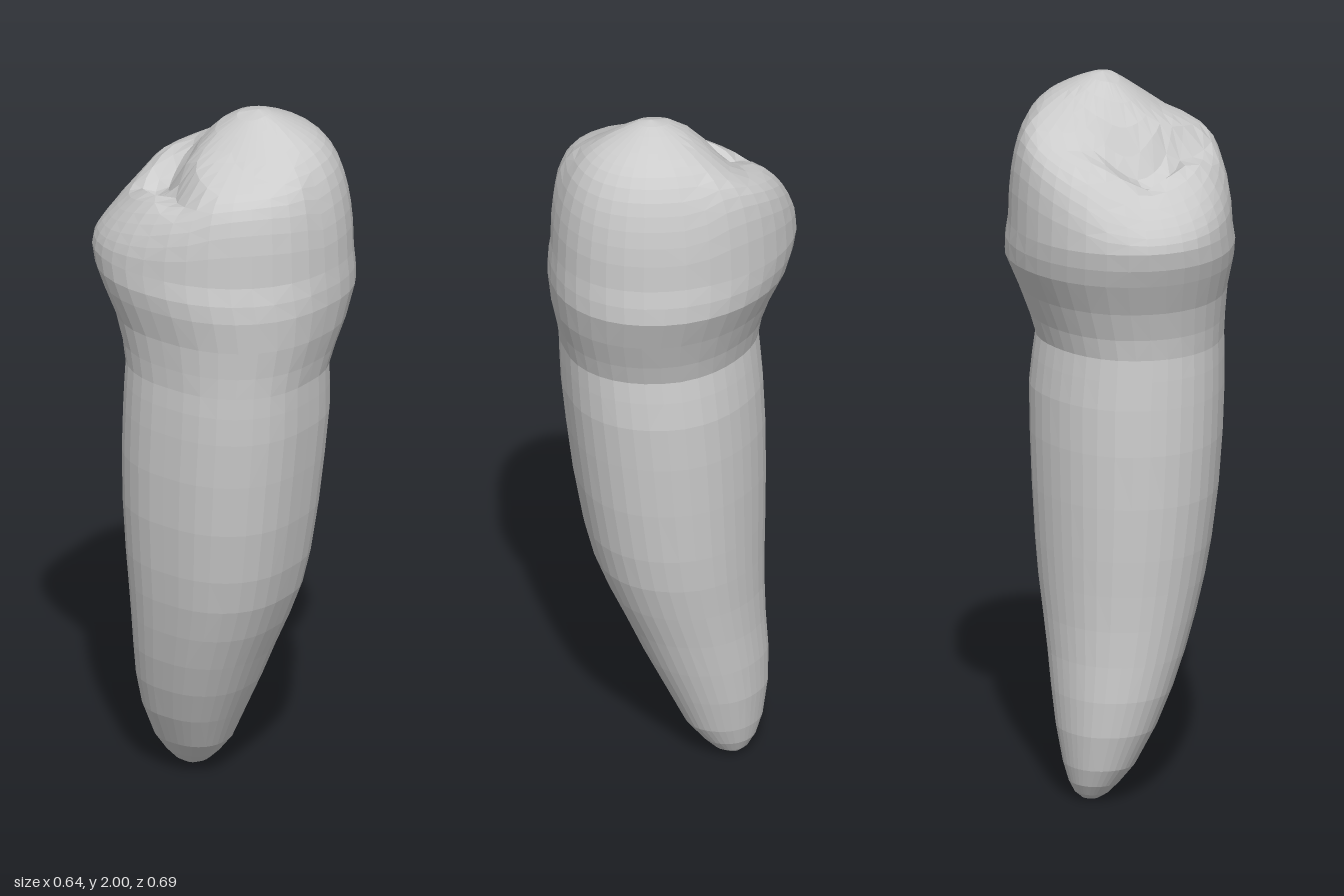
import * as THREE from 'three';

const SEG = 36;

// Ring sections from tip to neck: [y, xMin, xMax, zMin, zMax]
const ROOT = [
  [0.005, 0.035, 0.085, -0.175, -0.125],
  [0.02, 0.01, 0.105, -0.195, -0.095],
  [0.05, -0.02, 0.122, -0.217, -0.063],
  [0.1, -0.062, 0.139, -0.238, -0.02],
  [0.2, -0.115, 0.16, -0.257, 0.03],
  [0.3, -0.155, 0.175, -0.261, 0.08],
  [0.4, -0.187, 0.188, -0.256, 0.125],
  [0.5, -0.213, 0.203, -0.254, 0.172],
  [0.6, -0.235, 0.218, -0.255, 0.212],
  [0.7, -0.252, 0.228, -0.258, 0.238],
  [0.85, -0.27, 0.238, -0.261, 0.264],
  [1.0, -0.28, 0.245, -0.26, 0.283],
  [1.13, -0.284, 0.248, -0.254, 0.297],
  [1.21, -0.284, 0.24, -0.248, 0.301],
  [1.27, -0.282, 0.232, -0.243, 0.303],
];

// Crown wall from neck to its widest band
const CROWN = [
  [1.27, -0.282, 0.232, -0.243, 0.303],
  [1.33, -0.286, 0.25, -0.252, 0.315],
  [1.41, -0.294, 0.28, -0.277, 0.336],
  [1.5, -0.314, 0.316, -0.318, 0.35],
  [1.55, -0.32, 0.314, -0.336, 0.35],
  [1.6, -0.315, 0.306, -0.346, 0.346],
];

// One ring of points, slightly squarer than an oval; skew turns it off its axes,
// corner fills out the front right and trims the back left
function ring([y, x0, x1, z0, z1], skew, corner) {
  const square = v => Math.sign(v) * Math.abs(v) ** 0.94;
  return Array.from({ length: SEG }, (_, i) => {
    const a = (i / SEG) * Math.PI * 2, c = Math.cos(a), s = Math.sin(a);
    const push = 1 + corner * Math.max(0, -2 * c * s) * (s - c) / Math.SQRT2;
    return new THREE.Vector3(
      (x0 + x1) / 2 + ((x1 - x0) / 2) * square(c) * push, y,
      (z0 + z1) / 2 + ((z1 - z0) / 2) * square(Math.sin(a + skew)) * push);
  });
}

// Height of the chewing surface: a blunt cusp falling to two high shoulders,
// with a short curved groove in front of the low back ridge
function biteHeight(x, z, t) {
  const cusp = 0.5 * (Math.hypot(x - 0.05, z - 0.08, 0.04) - 0.04)
    + 0.2 * Math.max(0, -z) + Math.min(0.04, 0.3 * Math.max(0, 0.03 - x));
  const grooveZ = -0.14 + 1.2 * Math.max(0, -0.1 - x);
  const groove = 0.085 * Math.exp(-(((z - grooveZ) / 0.06) ** 2) - ((x + 0.08) / 0.16) ** 2);
  const shoulder = Math.max(0, -2 * x * z / (x * x + z * z));
  return 1.6 + Math.sqrt(1 - t ** (7 + 13 * shoulder)) * (0.4 - cusp - groove);
}

// Skin a stack of rings, closing either end with a fan to a point
function loft(rings, bottom, top) {
  const pos = [], index = [];
  rings.flat().forEach(p => pos.push(p.x, p.y, p.z));
  for (let r = 0; r < rings.length - 1; r++) {
    for (let i = 0; i < SEG; i++) {
      const j = (i + 1) % SEG;
      const a = r * SEG + i, b = r * SEG + j, c = a + SEG, d = b + SEG;
      if ((r + i) % 2) index.push(a, c, b, b, c, d);
      else index.push(a, c, d, a, d, b);
    }
  }
  const fan = (p, start, up) => {
    const tip = pos.length / 3;
    pos.push(p.x, p.y, p.z);
    for (let i = 0; i < SEG; i++) {
      const a = start + i, b = start + (i + 1) % SEG;
      if (up) index.push(a, tip, b);
      else index.push(b, tip, a);
    }
  };
  if (bottom) fan(bottom, 0, false);
  if (top) fan(top, (rings.length - 1) * SEG, true);
  const geo = new THREE.BufferGeometry();
  geo.setAttribute('position', new THREE.Float32BufferAttribute(pos, 3));
  geo.setIndex(index);
  geo.computeVertexNormals();
  return geo;
}

export function createModel() {
  const group = new THREE.Group();
  group.name = 'tooth';
  const material = new THREE.MeshStandardMaterial({ color: 0xcccccc, flatShading: true });
  const add = (name, geo) => {
    const mesh = new THREE.Mesh(geo, material);
    mesh.name = name;
    group.add(mesh);
  };

  // Tapered root leaning back towards its tip
  const rootRings = ROOT.map((s, i) => ring(s, 0.05 * i / (ROOT.length - 1), 0.08));
  add('root', loft(rootRings, new THREE.Vector3(0.06, 0, -0.15), null));

  // Bulging crown wall, then shrinking rings laid over the chewing surface
  const crownRings = CROWN.map((s, i) => {
    const k = i / (CROWN.length - 1);
    return ring(s, 0.05 + 0.07 * k, 0.08 - 0.06 * k);
  });
  const rim = crownRings[crownRings.length - 1];
  for (const t of [0.99, 0.97, 0.94, 0.9, 0.85, 0.78, 0.7, 0.62, 0.54, 0.46, 0.37, 0.26, 0.13]) {
    crownRings.push(rim.map(p => {
      const x = p.x * t + 0.05 * (1 - t), z = p.z * t + 0.08 * (1 - t);
      return new THREE.Vector3(x, biteHeight(x, z, t), z);
    }));
  }
  add('crown', loft(crownRings, null, new THREE.Vector3(0.05, biteHeight(0.05, 0.08, 0), 0.08)));

  return group;
}
